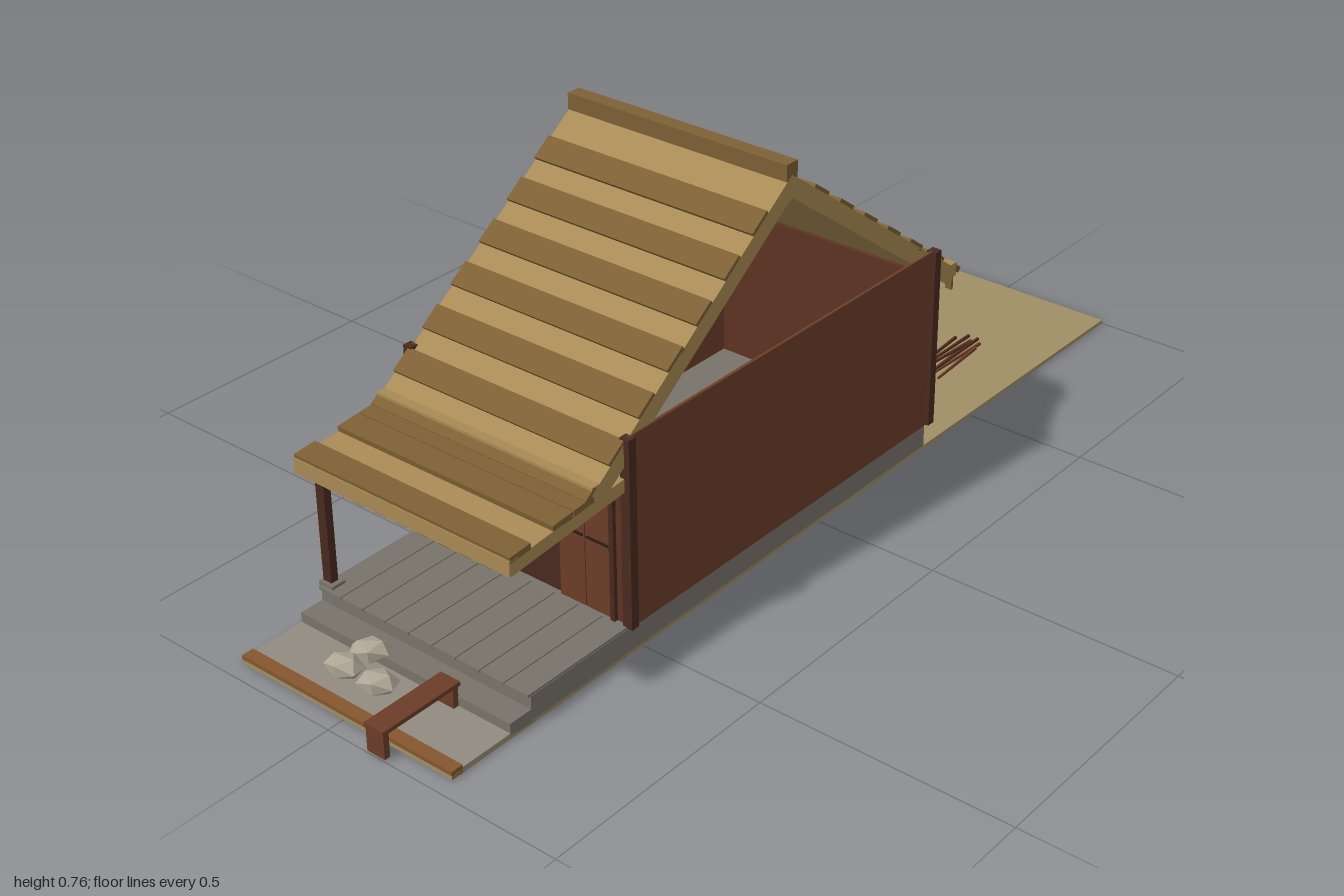
import * as THREE from 'three';

const mats = {};
function mat(color) {
  return (mats[color] ??= new THREE.MeshStandardMaterial({ color, flatShading: true, side: THREE.DoubleSide }));
}
const STRAW = 0xa88a54, STRAW_DARK = 0x7d6035, WOOD = 0x6b3d28, WOOD_MID = 0x5c3322,
  WOOD_DARK = 0x4a2a20, STONE = 0x79736a, EARTH = 0xa08f66, PALE = 0xada594, GREEN = 0x35694a;

export function createModel() {
  const root = new THREE.Group();
  root.name = 'thatchedHouse';

  function add(name, geometry, color) {
    const m = new THREE.Mesh(geometry, mat(color));
    m.name = name;
    root.add(m);
    return m;
  }
  // Box given by its minimum and maximum on each axis
  function box(name, color, x0, x1, y0, y1, z0, z1) {
    const m = add(name, new THREE.BoxGeometry(x1 - x0, y1 - y0, z1 - z0), color);
    m.position.set((x0 + x1) / 2, (y0 + y1) / 2, (z0 + z1) / 2);
    return m;
  }
  // Sloping slab between two (z, y) points on its top face, raised by lift
  function slope(name, color, z0, y0, z1, y1, thick, lift = 0) {
    const dz = z1 - z0, dy = y1 - y0, len = Math.hypot(dz, dy);
    const m = add(name, new THREE.BoxGeometry(0.494, thick, len), color);
    const off = lift - thick / 2;
    m.position.set(0, (y0 + y1) / 2 + off * dz / len, (z0 + z1) / 2 - off * dy / len);
    m.rotation.x = Math.atan2(-dy, dz);
    return m;
  }

  // Ground, front apron and kerb
  box('yard', EARTH, -0.247, 0.247, 0, 0.008, -1, 0.965);
  box('apron', 0x918b80, -0.247, 0.247, 0.004, 0.011, 0.78, 0.94);
  box('kerb', 0x85562f, -0.247, 0.247, 0, 0.016, 0.94, 0.965);

  // Plinth, step and porch floorboards
  box('plinth', STONE, -0.247, 0.247, 0.004, 0.056, -0.335, 0.78);
  box('step', STONE, -0.247, 0.247, 0.004, 0.03, 0.78, 0.83);
  for (let i = 0; i < 9; i++) {
    const x = -0.247 + i * 0.055;
    box('floorboard', STONE, x, x + 0.053, 0.055, 0.06, 0.54, 0.785);
  }

  // Side walls and corner posts
  for (const s of [-1, 1]) {
    box('sideWall', WOOD, s * 0.247 - 0.003, s * 0.247 + 0.003, 0.056, 0.43, -0.335, 0.53);
    for (const z of [0.532, -0.341])
      box('cornerPost', WOOD_DARK, s * 0.248 - 0.01, s * 0.248 + 0.01, 0.058, 0.43, z - 0.009, z + 0.009);
  }

  // Front wall with sliding panels
  box('frontWall', WOOD_DARK, -0.244, 0.244, 0.058, 0.38, 0.518, 0.528);
  for (const x of [-0.212, 0.092, 0.152]) {
    box('slidingPanel', WOOD, x, x + 0.058, 0.06, 0.35, 0.528, 0.536);
    box('panelRail', 0x2e1a14, x + 0.003, x + 0.055, 0.201, 0.205, 0.536, 0.539);
  }
  for (const x of [-0.218, 0.215])
    box('doorJamb', WOOD_DARK, x - 0.005, x + 0.005, 0.06, 0.36, 0.528, 0.542);
  for (const s of [-1, 1])
    box('frontSidePanel', WOOD_MID, s * 0.23 - 0.01, s * 0.23 + 0.01, 0.06, 0.36, 0.528, 0.534);

  // Back wall of boards with a lattice door
  box('backWall', WOOD_MID, -0.244, 0.244, 0.056, 0.38, -0.335, -0.327);
  for (let i = 0; i < 12; i++) {
    const x = -0.24 + i * 0.04;
    if (x > -0.07 && x < 0.05) continue;
    box('backBoard', i % 2 ? WOOD_MID : WOOD, x, x + 0.037, 0.058, 0.375, -0.34, -0.335);
  }
  box('backDoor', WOOD, -0.052, 0.062, 0.06, 0.28, -0.34, -0.335);
  box('transom', PALE, -0.052, 0.062, 0.285, 0.345, -0.338, -0.335);
  for (const x of [-0.06, 0.068])
    box('backDoorPost', WOOD_DARK, x - 0.007, x + 0.007, 0.058, 0.375, -0.35, -0.335);
  box('backDoorMullion', WOOD_DARK, 0.002, 0.008, 0.06, 0.28, -0.345, -0.338);
  for (const y of [0.065, 0.14, 0.21, 0.282])
    box('backDoorRail', WOOD_DARK, -0.053, 0.063, y - 0.004, y + 0.004, -0.345, -0.338);

  // Main roof: two thatch slabs with raised courses
  const RIDGE_Z = 0.1, RIDGE_Y = 0.742, EAVE_Y = 0.36, RUN = 0.52;
  for (const s of [-1, 1]) {
    const zAt = y => RIDGE_Z + s * RUN * (RIDGE_Y - y) / (RIDGE_Y - EAVE_Y);
    const strip = (name, color, hi, lo, thick, lift) => s > 0
      ? slope(name, color, zAt(hi), hi, zAt(lo), lo, thick, lift)
      : slope(name, color, zAt(lo), lo, zAt(hi), hi, thick, lift);
    strip('roofThatch', STRAW, RIDGE_Y, EAVE_Y, 0.034, 0);
    for (let i = 0; i < 7; i++) {
      const hi = 0.695 - i * 0.0545;
      strip('darkCourse', STRAW_DARK, hi, Math.max(hi - 0.029, EAVE_Y - 0.008), 0.012, 0.007);
    }
    const ez = RIDGE_Z + s * 0.5;
    box('eaveRoll', STRAW, -0.247, 0.247, 0.346, 0.374, ez - 0.02, ez + 0.02);
  }
  box('ridgeCap', STRAW_DARK, -0.247, 0.247, 0.733, 0.765, 0.085, 0.115);

  // Hanging straw fringe under the back eave
  for (let i = 0; i < 22; i++) {
    const x = -0.24 + i * 0.0225;
    const drop = 0.03 + 0.024 * ((i * 7) % 5) / 4;
    box('eaveFringe', i % 3 ? STRAW : STRAW_DARK, x - 0.007, x + 0.007, 0.355 - drop, 0.36, -0.423, -0.417);
  }

  // Porch roof with raised courses, and its post
  const porchY = z => 0.355 - (z - 0.53) * 0.085;
  slope('porchRoof', STRAW, 0.53, porchY(0.53), 0.812, porchY(0.812), 0.026);
  for (const z of [0.765, 0.665, 0.615])
    slope('porchCourse', STRAW_DARK, z, porchY(z) + 0.004, z + 0.048, porchY(z + 0.048) + 0.004, 0.012, 0.006);
  box('porchFascia', STRAW, -0.247, 0.247, 0.305, 0.335, 0.795, 0.815);
  box('porchPost', WOOD_DARK, -0.25, -0.23, 0.058, 0.315, 0.755, 0.771);
  box('postFoot', STONE, -0.254, -0.22, 0.056, 0.066, 0.748, 0.778);

  // Hanging board below the porch roof
  box('boardBack', WOOD_DARK, -0.167, 0.167, 0.26, 0.325, 0.757, 0.768);
  box('boardFace', GREEN, -0.16, 0.16, 0.267, 0.32, 0.766, 0.771);
  box('boardBatten', 0x1f2a22, -0.115, 0.053, 0.294, 0.297, 0.77, 0.773);
  box('boardBatten', 0x1f2a22, -0.067, 0.08, 0.278, 0.281, 0.77, 0.773);

  // Bench
  box('benchSeat', WOOD, 0.088, 0.132, 0.05, 0.058, 0.825, 1);
  for (const z of [0.835, 0.992])
    box('benchLeg', WOOD, 0.09, 0.13, 0.002, 0.05, z - 0.006, z + 0.006);

  // Stones on the apron
  for (const [x, z, turn] of [[-0.077, 0.888, 0.3], [0, 0.885, 1.2], [-0.075, 0.83, 2.1]]) {
    const stone = add('steppingStone', new THREE.IcosahedronGeometry(0.04, 0), PALE);
    stone.scale.set(1, 0.55, 0.72);
    stone.rotation.y = turn * 0.3;
    stone.position.set(x, 0.03, z);
  }

  // Open jar in the back yard
  const profile = [[0, 0.008], [0.034, 0.008], [0.052, 0.04], [0.051, 0.075], [0.032, 0.105], [0.024, 0.1], [0.02, 0.06], [0, 0.06]];
  const jar = add('jar', new THREE.LatheGeometry(profile.map(p => new THREE.Vector2(...p)), 7), 0x6a3527);
  jar.position.set(-0.14, 0, -0.515);

  // Pile of firewood
  for (let i = 0; i < 8; i++) {
    const len = 0.14 + 0.035 * ((i * 3) % 4) / 3;
    const stick = add('firewood', new THREE.CylinderGeometry(0.003, 0.004, len, 5), i % 2 ? WOOD : 0x4f2c1e);
    stick.rotation.set(Math.PI / 2, 0, ((i * 5) % 7 - 3) * 0.025);
    stick.position.set(0.076 + i * 0.006, i % 2 ? 0.013 : 0.03, -0.565 - len / 2);
  }

  return root;
}
